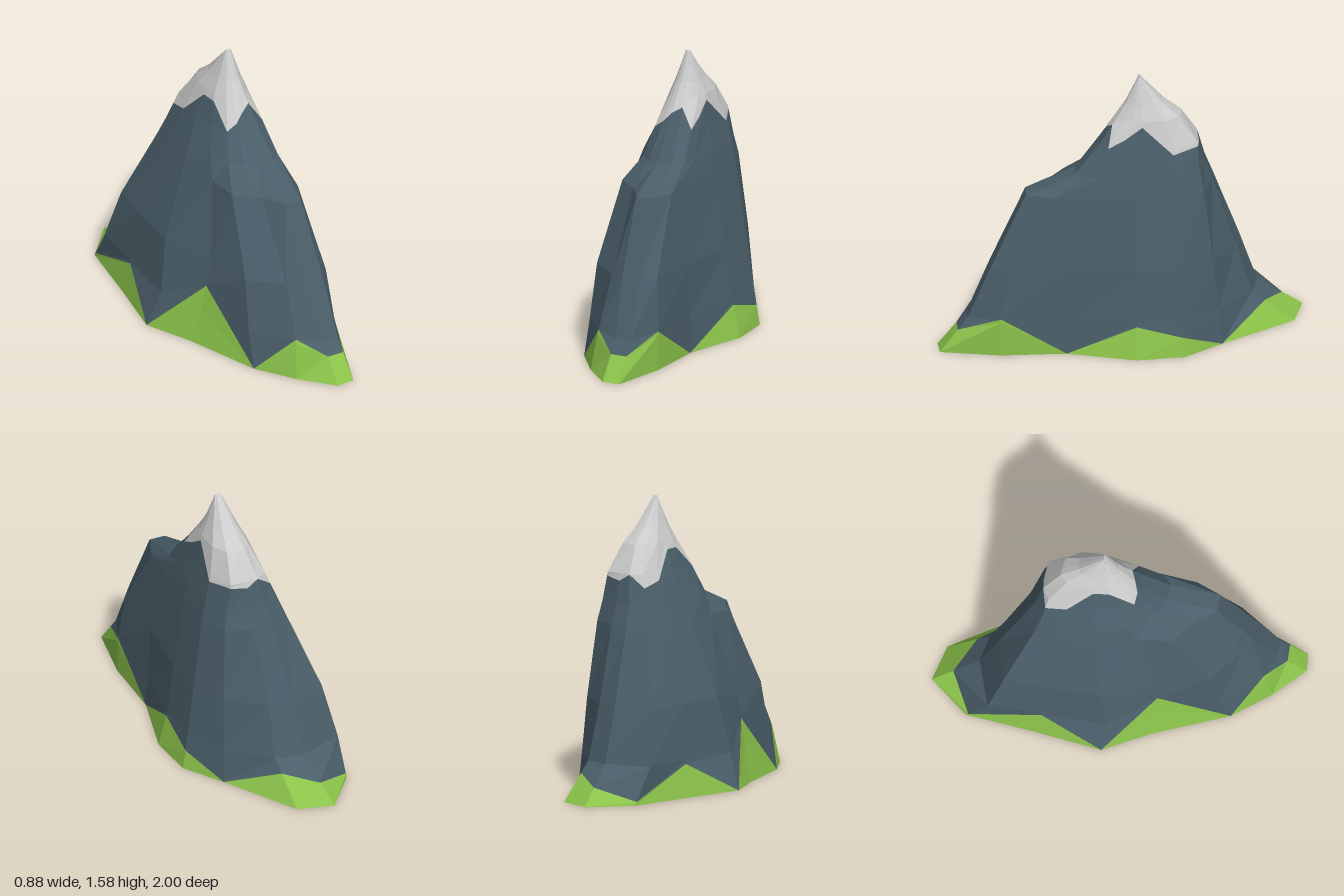
import * as THREE from 'three';

// Horizontal outlines [x, z], running front -> +x -> back -> -x
const foot = [[.21, 1], [.31, .99], [.36, .66], [.35, .3], [.44, -.08], [.41, -.34], [.26, -.55], [0, -.95],
  [-.2, -1], [-.37, -.78], [-.4, -.4], [-.44, -.02], [-.3, .23], [-.12, .64], [.04, .84]];
const slope = [[.2, .84], [.29, .84], [.36, .66], [.34, .29], [.39, -.08], [.38, -.33], [.25, -.53], [.03, -.72],
  [-.12, -.75], [-.37, -.66], [-.36, -.36], [-.36, 0], [-.24, .25], [-.12, .58], [.06, .8]];
const waist = [[.16, .71], [.27, .71], [.33, .62], [.33, .28], [.35, -.08], [.34, -.32], [.24, -.5], [.03, -.63],
  [-.1, -.65], [-.31, -.58], [-.32, -.33], [-.31, -.05], [-.18, .25], [-.11, .52], [.07, .66]];
const shelf = [[.14, .52], [.23, .52], [.28, .38], [.28, .2], [.29, -.08], [.28, -.3], [.21, -.45], [.06, -.5],
  [-.05, -.5], [-.16, -.44], [-.17, -.3], [-.17, -.1], [-.11, .12], [-.08, .3], [.05, .4]];
const shelfTop = [[.11, .25], [.2, .25], [.25, .2], [.26, .1], [.27, -.08], [.26, -.3], [.19, -.43], [.06, -.46],
  [-.03, -.46], [-.12, -.41], [-.13, -.29], [-.13, -.12], [-.09, .06], [-.03, .16], [.04, .22]];
const neck = [[.1, .12], [.17, .12], [.22, .07], [.23, 0], [.23, -.1], [.22, -.28], [.16, -.42], [.07, -.42],
  [0, -.42], [-.06, -.38], [-.07, -.27], [-.07, -.15], [-.04, -.02], [0, .08], [.05, .11]];
const shoulder = [[.1, .03], [.14, .02], [.17, -.02], [.19, -.06], [.2, -.12], [.19, -.24], [.14, -.32], [.08, -.33],
  [.04, -.33], [0, -.29], [-.02, -.22], [-.01, -.14], [0, -.07], [.04, 0], [.07, .02]];

// Shrink an outline around the summit
const shrink = (outline, sx, sz) => outline.map(([x, z]) => [.1 + (x - .1) * sx, -.1 + (z + .1) * sz]);

const sections = [[0, foot], [.2, slope], [.5, waist], [.92, shelf], [1.03, shelfTop], [1.19, neck],
  [1.34, shoulder], [1.42, shrink(shoulder, .68, .6)], [1.58, shrink(shoulder, .15, 0)]];
const COUNT = foot.length;
const TOP = 1.58;

// Zigzag borders between grass, rock and snow, one height per column
const grassLine = [.13, .13, .22, 0, .18, .11, 0, .14, .09, .02, .18, 0, .34, 0, .22];
const snowLine = [1.27, 1.3, 1.19, 1.24, 1.31, 1.15, 1.17, 1.15, 1.19, 1.12, 1.15, 1.3, 1.3, 1.18, 1.22];

// Point on column i at height y
function pointAt(i, y) {
  let k = 1;
  while (k < sections.length - 1 && y > sections[k][0]) k++;
  const [y0, a] = sections[k - 1], [y1, b] = sections[k];
  const t = (y - y0) / (y1 - y0);
  return new THREE.Vector3(
    THREE.MathUtils.lerp(a[i][0], b[i][0], t), y, THREE.MathUtils.lerp(a[i][1], b[i][1], t));
}

function addTriangle(out, a, b, c) {
  if (new THREE.Triangle(a, b, c).getArea() < 1e-7) return;
  for (const p of [a, b, c]) out.push(p.x, p.y, p.z);
}

// Skin of the mountain between two border heights
function band(low, high) {
  const out = [];
  const at = (i, r) => pointAt(i, THREE.MathUtils.clamp(sections[r][0], low(i), high(i)));
  for (let r = 0; r < sections.length - 1; r++) {
    for (let i = 0; i < COUNT; i++) {
      const j = (i + 1) % COUNT;
      const a = at(i, r), b = at(j, r), c = at(j, r + 1), d = at(i, r + 1);
      addTriangle(out, a, b, c);
      addTriangle(out, a, c, d);
    }
  }
  return out;
}

// Flat underside
function underside() {
  const out = [];
  const centre = new THREE.Vector3(.05, 0, 0);
  for (let i = 0; i < COUNT; i++) addTriangle(out, centre, pointAt((i + 1) % COUNT, 0), pointAt(i, 0));
  return out;
}

function part(name, positions, color) {
  const geometry = new THREE.BufferGeometry();
  geometry.setAttribute('position', new THREE.Float32BufferAttribute(positions, 3));
  geometry.computeVertexNormals();
  const mesh = new THREE.Mesh(geometry, new THREE.MeshStandardMaterial({ color, flatShading: true }));
  mesh.name = name;
  return mesh;
}

export function createModel() {
  const group = new THREE.Group();
  group.name = 'mountain';
  const grass = i => grassLine[i], snow = i => snowLine[i];
  group.add(
    part('grassFoot', band(() => 0, grass), 0x8bc34a),
    part('rockBody', band(grass, snow), 0x4a5e69),
    part('snowCap', band(snow, () => TOP), 0xcccccc),
    part('underside', underside(), 0x8bc34a));
  return group;
}
